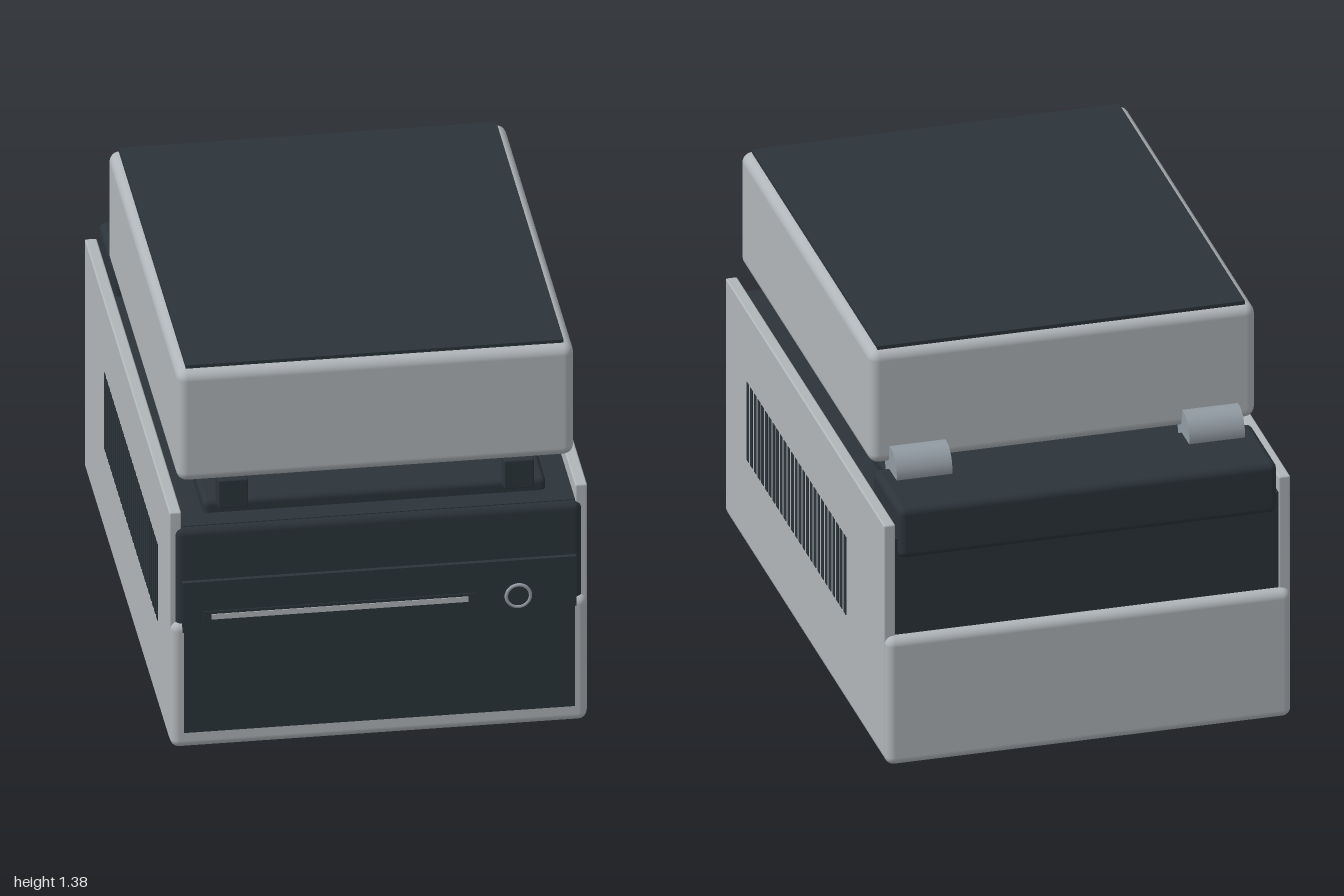
import * as THREE from 'three';
import { RoundedBoxGeometry } from 'three/addons/geometries/RoundedBoxGeometry.js';

const material = (name, color) => {
  const m = new THREE.MeshStandardMaterial({ color });
  m.name = name;
  return m;
};

export function createModel() {
  const grey = material('light grey', 0xb0b5b9);
  const dark = material('charcoal', 0x2b343a);
  const steel = material('steel', 0x929ba3);
  const copper = material('copper', 0xa65a3c);

  const model = new THREE.Group();
  model.name = 'benchPress';

  const add = (name, geometry, mat, x = 0, y = 0, z = 0) => {
    const mesh = new THREE.Mesh(geometry, mat);
    mesh.name = name;
    mesh.position.set(x, y, z);
    model.add(mesh);
    return mesh;
  };
  // Box given by its limits on each axis; a radius rounds its edges
  const box = (name, mat, [x0, x1], [y0, y1], [z0, z1], r = 0) => {
    const size = [x1 - x0, y1 - y0, z1 - z0];
    const g = r ? new RoundedBoxGeometry(...size, 3, r) : new THREE.BoxGeometry(...size);
    return add(name, g, mat, (x0 + x1) / 2, (y0 + y1) / 2, (z0 + z1) / 2);
  };
  // Box centred on x
  const centred = (name, mat, halfWidth, y, z, r) => box(name, mat, [-halfWidth, halfWidth], y, z, r);

  // Base shell and its underside
  centred('baseShell', grey, 0.693, [0.004, 0.47], [-1, 0.98], 0.03);
  centred('bottomPlate', dark, 0.665, [0, 0.008], [-0.97, 0.95]);

  // Inner body, rear housing with its lip, and deck
  centred('innerBody', dark, 0.656, [0.3, 0.82], [-0.965, 0.95]);
  centred('rearHousing', dark, 0.647, [0.75, 0.935], [-0.985, -0.66], 0.025);
  centred('deck', dark, 0.57, [0.78, 0.865], [-0.7, 0.87], 0.02);

  // Front fascia, control strip and lower plate
  centred('frontFascia', dark, 0.68, [0.44, 0.82], [0.8, 0.968], 0.03);
  centred('controlStrip', dark, 0.655, [0.44, 0.625], [0.95, 0.984]);
  centred('frontPlate', dark, 0.65, [0.065, 0.442], [0.975, 0.983]);

  // Slot with a bright bar
  box('slot', dark, [-0.585, 0.32], [0.477, 0.515], [0.98, 0.988]);
  box('slotBar', grey, [-0.56, 0.295], [0.486, 0.505], [0.985, 0.991]);

  // Round button with a steel ring
  const button = add('button', new THREE.CylinderGeometry(0.04, 0.04, 0.02, 40), dark, 0.46, 0.498, 0.986);
  button.rotation.x = Math.PI / 2;
  add('buttonRing', new THREE.TorusGeometry(0.04, 0.006, 10, 48), steel, 0.46, 0.498, 0.994);

  // Heating plates between deck and lid
  centred('lowerPlate', steel, 0.42, [0.86, 0.882], [-0.26, 0.43]);
  centred('copperPlate', copper, 0.53, [0.905, 0.931], [-0.25, 0.41]);
  centred('plateHolder', dark, 0.57, [0.93, 0.96], [-0.33, 0.485]);

  // Lid and its top panel
  centred('lid', grey, 0.66, [0.953, 1.366], [-0.68, 0.903], 0.035);
  centred('lidTopPanel', dark, 0.628, [1.36, 1.377], [-0.656, 0.872]);

  for (const side of [1, -1]) {
    const span = (a, b) => (side > 0 ? [a, b] : [-b, -a]);

    // Side wall with a row of vents
    box('sideWall', grey, span(0.655, 0.695), [0.03, 0.876], [-0.97, 0.955], 0.006);
    for (let i = 0; i < 27; i++) {
      const z = 0.68 - i * 0.0454;
      box('vent', dark, span(0.69, 0.697), [0.335, 0.62], [z - 0.0135, z + 0.0135]);
    }

    // Hinge barrel and front latch
    const hinge = add('hinge', new THREE.CylinderGeometry(0.072, 0.072, 0.19, 32), steel, side * 0.5, 0.95, -0.7);
    hinge.rotation.z = Math.PI / 2;
    box('latch', dark, span(0.425, 0.525), [0.85, 0.956], [0.84, 0.906], 0.005);
  }
  return model;
}
